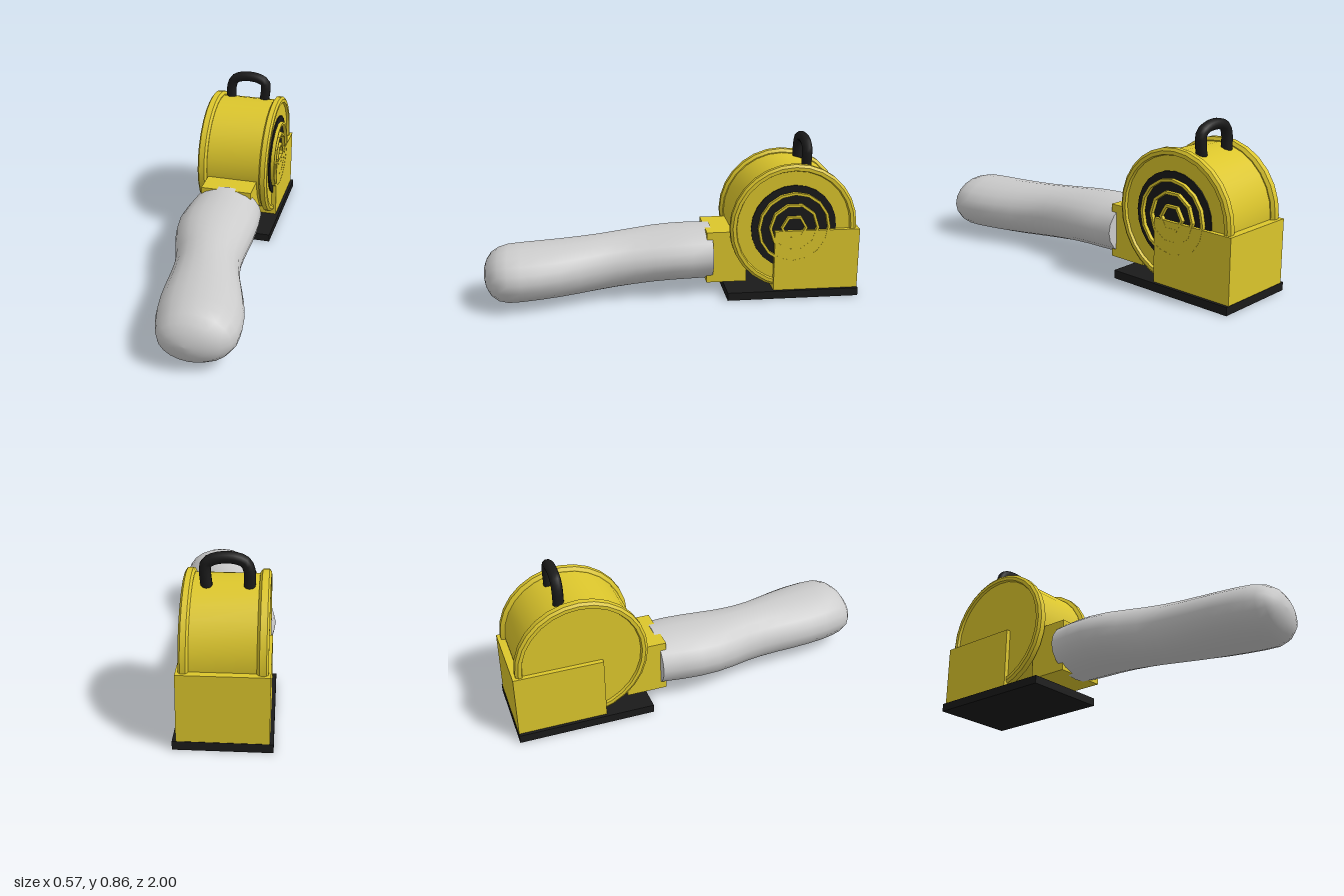
import * as THREE from 'three';
import { toCreasedNormals } from 'three/addons/utils/BufferGeometryUtils.js';

const yellow = new THREE.MeshStandardMaterial({ color: 0xdcc62c });
const black = new THREE.MeshStandardMaterial({ color: 0x1a1a1a });
const grey = new THREE.MeshStandardMaterial({ color: 0xcccccc });

const AXLE_Y = 0.392, AXLE_Z = -0.64;

function add(parent, name, geometry, material) {
  const mesh = new THREE.Mesh(geometry, material);
  mesh.name = name;
  parent.add(mesh);
  return mesh;
}

// Box given by its limits on each axis
function box(parent, name, material, [x0, x1], [y0, y1], [z0, z1]) {
  const mesh = add(parent, name, new THREE.BoxGeometry(x1 - x0, y1 - y0, z1 - z0), material);
  mesh.position.set((x0 + x1) / 2, (y0 + y1) / 2, (z0 + z1) / 2);
}

// Part turned about the x axis through the axle; profile holds [radius, x] pairs
function turned(parent, name, material, profile, sides) {
  const points = profile.map(([r, x]) => new THREE.Vector2(r, x));
  const geometry = toCreasedNormals(new THREE.LatheGeometry(points, sides), 0.45);
  const mesh = add(parent, name, geometry, material);
  mesh.rotation.z = -Math.PI / 2;
  mesh.position.set(0, AXLE_Y, AXLE_Z);
}

// Smooth oval tube lofted through rows of [z, xMin, xMax, yMin, yMax]
function loft(rows, sides) {
  const positions = [], index = [];
  rows.forEach(([z, x0, x1, y0, y1], i) => {
    for (let j = 0; j < sides; j++) {
      const a = (j / sides) * Math.PI * 2;
      positions.push(
        (x0 + x1) / 2 + ((x1 - x0) / 2) * Math.cos(a),
        (y0 + y1) / 2 + ((y1 - y0) / 2) * Math.sin(a),
        z
      );
      if (i === rows.length - 1) continue;
      const p = i * sides + j, q = i * sides + ((j + 1) % sides);
      index.push(p, q, p + sides, q, q + sides, p + sides);
    }
  });
  const geometry = new THREE.BufferGeometry();
  geometry.setAttribute('position', new THREE.Float32BufferAttribute(positions, 3));
  geometry.setIndex(index);
  geometry.computeVertexNormals();
  return geometry;
}

export function createModel() {
  const model = new THREE.Group();
  model.name = 'blower';

  // Base plate, motor housing and square outlet
  box(model, 'basePlate', black, [-0.288, 0.174], [0, 0.043], [-1, -0.286]);
  box(model, 'motorHousing', yellow, [-0.27, 0.157], [0.043, 0.375], [-0.998, -0.537]);
  box(model, 'outlet', yellow, [-0.2, 0.085], [0.075, 0.358], [-0.4, -0.183]);

  // Fan drum with a chamfered rim and a shallow recess at each end
  turned(model, 'fanDrum', yellow, [
    [0, -0.245], [0.305, -0.245], [0.31, -0.259], [0.328, -0.259], [0.342, -0.249],
    [0.342, -0.218], [0.326, -0.206], [0.321, -0.206],
    [0.321, 0.099], [0.326, 0.099], [0.342, 0.109],
    [0.342, 0.135], [0.328, 0.145], [0.31, 0.145], [0.305, 0.131], [0, 0.131]
  ], 28);

  // Intake grille: black disc with concentric guard rings
  const grille = new THREE.Group();
  grille.name = 'intakeGrille';
  model.add(grille);
  turned(grille, 'grilleDisc', black, [[0.23, 0.125], [0.23, 0.138], [0, 0.138]], 24);
  for (const [r, sides] of [[0.195, 16], [0.135, 10], [0.072, 6]]) {
    turned(grille, 'guardRing', yellow,
      [[r, 0.13], [r, 0.158], [r - 0.014, 0.158], [r - 0.014, 0.13]], sides);
  }

  // Carrying handle
  const path = new THREE.CatmullRomCurve3([
    [-0.162, 0.69], [-0.161, 0.77], [-0.142, 0.812], [-0.1, 0.83], [-0.05, 0.834],
    [0.005, 0.824], [0.037, 0.803], [0.042, 0.775], [0.034, 0.69]
  ].map(([x, y]) => new THREE.Vector3(x, y, -0.72)), false, 'centripetal');
  add(model, 'handle', new THREE.TubeGeometry(path, 20, 0.028, 10), black);

  // Curved hose, ending in a rounded tip
  const rows = [
    [-0.215, -0.255, 0.14, 0.068, 0.364],
    [-0.1, -0.272, 0.152, 0.066, 0.364],
    [0, -0.277, 0.154, 0.064, 0.36],
    [0.1, -0.265, 0.15, 0.058, 0.354],
    [0.2, -0.237, 0.146, 0.05, 0.346],
    [0.3, -0.203, 0.149, 0.043, 0.34],
    [0.4, -0.182, 0.17, 0.037, 0.334],
    [0.5, -0.174, 0.207, 0.033, 0.33],
    [0.6, -0.17, 0.242, 0.03, 0.327],
    [0.7, -0.163, 0.27, 0.028, 0.325],
    [0.8, -0.147, 0.284, 0.025, 0.324],
    [0.87, -0.127, 0.282, 0.024, 0.322],
    [0.92, -0.11, 0.262, 0.034, 0.308],
    [0.96, -0.088, 0.223, 0.06, 0.28],
    [0.985, -0.05, 0.165, 0.098, 0.242],
    [0.997, 0.0, 0.105, 0.135, 0.205],
    [1, 0.05, 0.052, 0.17, 0.171]
  ];
  add(model, 'hose', loft(rows, 20), grey);

  // Flat rear end of the hose
  const [z, x0, x1, y0, y1] = rows[0];
  const cap = add(model, 'hoseEnd', new THREE.CircleGeometry(1, 20), grey);
  cap.rotation.y = Math.PI;
  cap.scale.set((x1 - x0) / 2, (y1 - y0) / 2, 1);
  cap.position.set((x0 + x1) / 2, (y0 + y1) / 2, z);

  return model;
}
